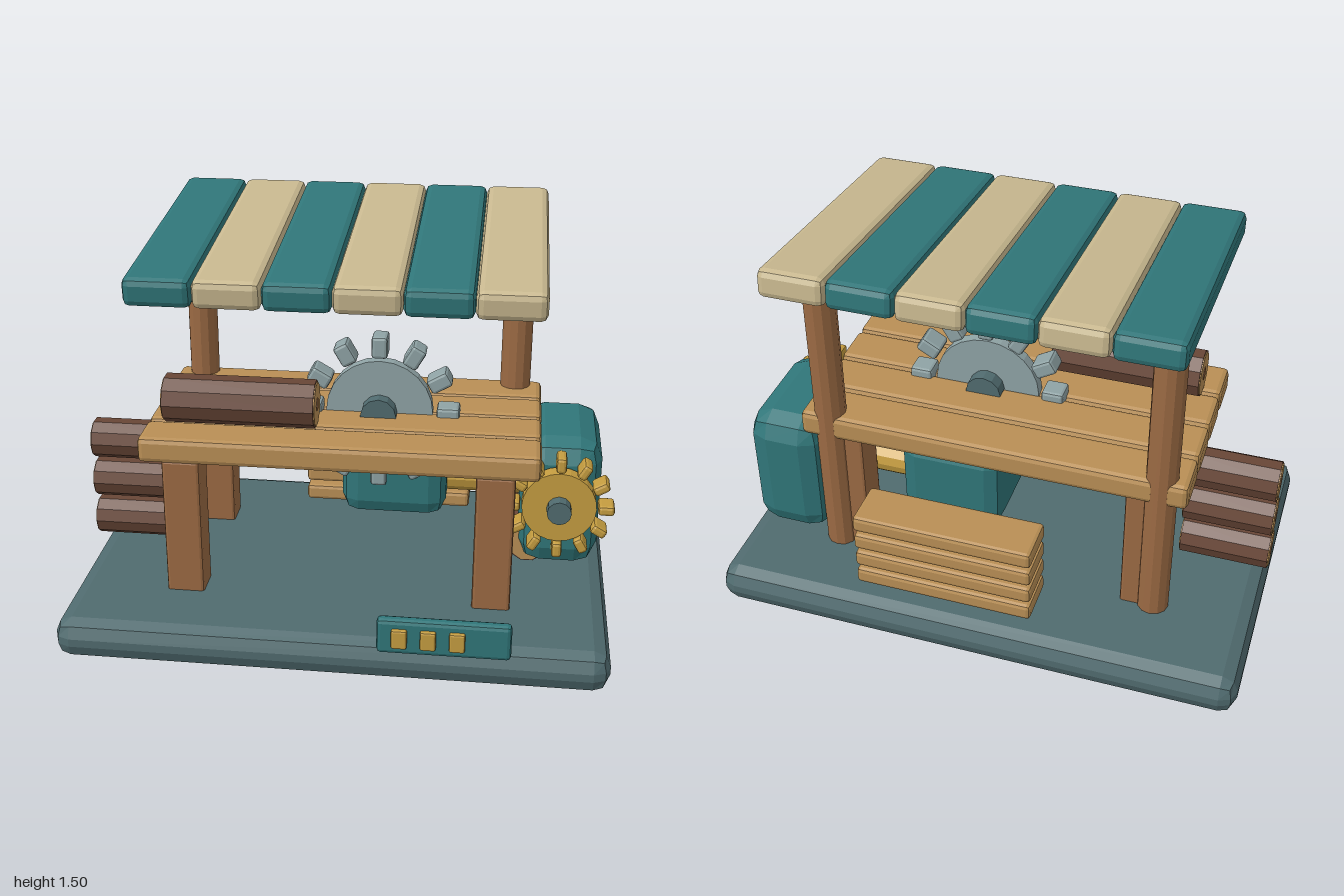
import * as THREE from 'three';
import { RoundedBoxGeometry } from 'three/addons/geometries/RoundedBoxGeometry.js';

const colours = {
  slate: 0x506b6f, teal: 0x307679, cream: 0xc8b88f, plankWood: 0xb98f55,
  postWood: 0x9b6a43, bark: 0x684636, steel: 0x8fa3a5, brass: 0xc59d40,
};

export function createModel() {
  const model = new THREE.Group();
  model.name = 'sawmill';
  const mats = {};
  for (const [name, color] of Object.entries(colours)) {
    mats[name] = new THREE.MeshStandardMaterial({ color });
    mats[name].name = name;
  }

  // Faceted mesh from any geometry
  function add(name, geo, mat, x, y, z, parent = model) {
    const flat = geo.index ? geo.toNonIndexed() : geo;
    flat.computeVertexNormals();
    const mesh = new THREE.Mesh(flat, mats[mat]);
    mesh.name = name;
    mesh.position.set(x, y, z);
    parent.add(mesh);
    return mesh;
  }
  // Bevelled box given by its size and centre
  const box = (name, mat, [w, h, d], [x, y, z], bevel = 0.02, parent = model) =>
    add(name, new RoundedBoxGeometry(w, h, d, 1, bevel), mat, x, y, z, parent);
  // Cylinder along a chosen axis
  function rod(name, mat, axis, r, length, [x, y, z], sides = 12, parent = model) {
    const geo = new THREE.CylinderGeometry(r, r, length, sides);
    if (axis === 'x') geo.rotateZ(-Math.PI / 2);
    if (axis === 'z') geo.rotateX(Math.PI / 2);
    return add(name, geo, mat, x, y, z, parent);
  }

  // Log with pale cut ends and a darker core
  function log(name, r, length, x, y, z, axis = 'x') {
    const group = new THREE.Group();
    group.name = name;
    group.position.set(x, y, z);
    if (axis === 'z') group.rotation.y = Math.PI / 2;
    rod('bark', 'bark', 'x', r, length, [0, 0, 0], 10, group);
    for (const s of [-1, 1]) {
      rod('cutEnd', 'plankWood', 'x', r * 0.92, 0.006, [s * (length / 2 + 0.001), 0, 0], 10, group);
      rod('core', 'postWood', 'x', r * 0.28, 0.006, [s * (length / 2 + 0.003), 0, 0], 6, group);
    }
    model.add(group);
  }

  // Toothed wheel facing the front
  function wheel(name, mat, at, { r, depth, toothR, tooth, hubR, hubDepth, hubZ = 0 }) {
    const group = new THREE.Group();
    group.name = name;
    group.position.set(...at);
    rod('disc', mat, 'z', r, depth, [0, 0, 0], 24, group);
    rod('hub', 'slate', 'z', hubR, hubDepth, [0, 0, hubZ], 12, group);
    for (let i = 0; i < 12; i++) {
      const a = (i * Math.PI) / 6;
      const t = box('tooth', mat, tooth, [Math.cos(a) * toothR, Math.sin(a) * toothR, 0], 0.012, group);
      t.rotation.z = a;
    }
    model.add(group);
  }

  // Base slab
  box('base', 'slate', [1.99, 0.15, 1.325], [-0.005, 0.075, -0.03], 0.06);

  // Table legs and rear roof posts
  for (const s of [-1, 1]) {
    for (const z of [0.272, -0.312]) {
      box('tableLeg', 'postWood', [0.14, 0.54, 0.13], [s * 0.567 - 0.005, 0.41, z], 0.012);
    }
    rod('roofPost', 'postWood', 'y', 0.058, 1.25, [s * 0.62 - 0.005, 0.775, -0.357], 12);
  }

  // Table top
  for (let i = 0; i < 4; i++) {
    box('tablePlank', 'plankWood', [1.445, 0.097, 0.18], [-0.005, 0.717, 0.253 - i * 0.19], 0.02);
  }

  // Sloping striped roof
  const roof = new THREE.Group();
  roof.name = 'roof';
  roof.position.set(-0.005, 1.393, -0.086);
  roof.rotation.x = 0.1;
  for (let i = 0; i < 6; i++) {
    box('roofSlat', i % 2 ? 'cream' : 'teal', [0.237, 0.104, 1.06], [(i - 2.5) * 0.238, 0, 0], 0.025, roof);
  }
  model.add(roof);

  // Saw blade through the table
  wheel('sawBlade', 'steel', [0.115, 0.77, -0.025], {
    r: 0.2, depth: 0.045, toothR: 0.257, tooth: [0.085, 0.06, 0.09], hubR: 0.067, hubDepth: 0.15,
  });

  // Motors, drive shaft and brass gear
  box('innerMotor', 'teal', [0.4, 0.34, 0.34], [0.17, 0.5, -0.17], 0.065);
  rod('driveShaft', 'brass', 'x', 0.065, 0.4, [0.5, 0.45, -0.18], 12);
  box('outerMotor', 'teal', [0.3, 0.515, 0.49], [0.8, 0.443, -0.18], 0.085);
  wheel('driveGear', 'brass', [0.795, 0.48, 0.11], {
    r: 0.137, depth: 0.06, toothR: 0.172, tooth: [0.06, 0.038, 0.09], hubR: 0.045, hubDepth: 0.12, hubZ: 0.02,
  });

  // Logs: one on the table, a stack beside it, and one under the motor
  log('tableLog', 0.09, 0.555, -0.378, 0.853, 0.154);
  for (let i = 0; i < 3; i++) log('stackedLog', 0.077, 0.33, -0.835, 0.255 + i * 0.165, -0.05);
  log('motorRest', 0.075, 0.28, 0.69, 0.245, -0.15, 'z');

  // Cut lumber behind the table
  for (let i = 0; i < 4; i++) {
    box('cutBoard', 'plankWood', [0.675, 0.065, 0.187], [0.112, 0.21 + i * 0.084, -0.515], 0.015);
  }

  // Control panel with three buttons
  box('controlPanel', 'teal', [0.465, 0.133, 0.045], [0.41, 0.216, 0.655], 0.015);
  for (let i = 0; i < 3; i++) {
    box('button', 'brass', [0.055, 0.072, 0.025], [0.257 + i * 0.1, 0.216, 0.682], 0.007);
  }

  return model;
}
